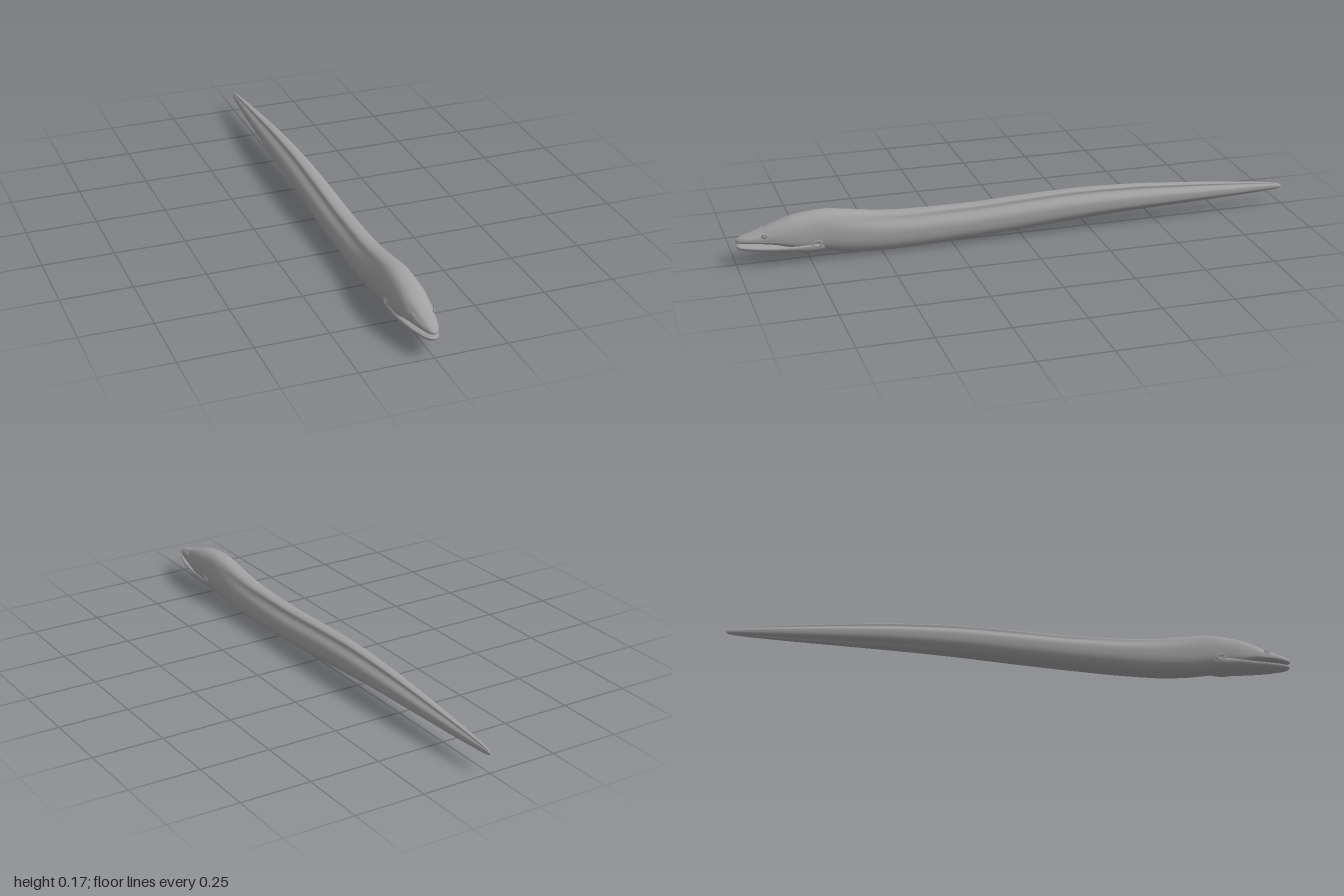
import * as THREE from 'three';

// Smooth interpolation through rows [z, a, b, ...] sorted by rising z
function sample(rows, z) {
  let i = 0;
  while (i < rows.length - 2 && z > rows[i + 1][0]) i++;
  const p = rows[i], q = rows[i + 1];
  const h = q[0] - p[0];
  const s = THREE.MathUtils.clamp((z - p[0]) / h, 0, 1);
  const slope = (k, c) => {
    if (k === 0 || k === rows.length - 1) return (q[c] - p[c]) / h;
    const d0 = (rows[k][c] - rows[k - 1][c]) / (rows[k][0] - rows[k - 1][0]);
    const d1 = (rows[k + 1][c] - rows[k][c]) / (rows[k + 1][0] - rows[k][0]);
    return d0 * d1 <= 0 ? 0 : (2 * d0 * d1) / (d0 + d1);
  };
  return p.map((v, c) => {
    const m0 = slope(i, c) * h, m1 = slope(i + 1, c) * h, d = q[c] - v;
    return v + m0 * s + (3 * d - 2 * m0 - m1) * s * s + (m0 + m1 - 2 * d) * s * s * s;
  });
}

// Skin over cross-sections; rows are [z, top, bottom, halfWidth, widestAt, dorsalFin, ventralFin]
function loft(rows, rings, sides) {
  const pos = [], index = [];
  const z0 = rows[0][0], z1 = rows[rows.length - 1][0];
  for (let i = 0; i <= rings; i++) {
    const f = i / rings;
    const ease = 0.5 - 0.5 * Math.cos(Math.PI * f);
    const z = z0 + (z1 - z0) * (0.4 * f + 0.6 * ease);
    const [, top, bottom, w, widest, dorsal, ventral] = sample(rows, z);
    const mid = bottom + (top - bottom) * widest;
    for (let j = 0; j < sides; j++) {
      const t = (j / sides) * Math.PI * 2, c = Math.cos(t), s = Math.sin(t);
      const v = Math.sign(s) * Math.abs(s) ** 0.9;
      // grooves pinch the section beside the fin ridges
      const pinch = (1 - dorsal * Math.exp(-(((v - 0.74) / 0.2) ** 2)))
        * (1 - ventral * Math.exp(-(((v + 0.78) / 0.2) ** 2)));
      pos.push(w * Math.sign(c) * Math.abs(c) ** 0.8 * pinch,
        mid + v * (s > 0 ? top - mid : mid - bottom), z);
      if (i < rings) {
        const a = i * sides + j, b = i * sides + ((j + 1) % sides);
        index.push(a, b, a + sides, b, b + sides, a + sides);
      }
    }
  }
  const g = new THREE.BufferGeometry();
  g.setAttribute('position', new THREE.Float32BufferAttribute(pos, 3));
  g.setIndex(index);
  g.computeVertexNormals();
  return g;
}

export function createModel() {
  const group = new THREE.Group();
  const skin = new THREE.MeshStandardMaterial({ color: 0xa0a0a0 });
  skin.name = 'grey skin';
  const add = (name, geometry, parent = group) => {
    const mesh = new THREE.Mesh(geometry, skin);
    mesh.name = name;
    parent.add(mesh);
    return mesh;
  };

  // Long body with the upper half of the head
  add('body', loft([
    [-1, 0.067, 0.066, 0, 0.5, 0, 0],
    [-0.99, 0.076, 0.06, 0.006, 0.5, 0.2, 0.2],
    [-0.95, 0.085, 0.056, 0.011, 0.48, 0.4, 0.35],
    [-0.8, 0.103, 0.05, 0.023, 0.45, 0.5, 0.4],
    [-0.6, 0.122, 0.045, 0.035, 0.43, 0.5, 0.35],
    [-0.4, 0.137, 0.04, 0.044, 0.42, 0.48, 0.25],
    [-0.2, 0.143, 0.032, 0.049, 0.42, 0.45, 0.1],
    [0, 0.138, 0.02, 0.052, 0.42, 0.42, 0],
    [0.2, 0.131, 0.009, 0.054, 0.42, 0.38, 0],
    [0.4, 0.133, 0.001, 0.055, 0.42, 0.28, 0],
    [0.5, 0.14, 0, 0.055, 0.42, 0.2, 0],
    [0.6, 0.154, 0.006, 0.054, 0.42, 0.1, 0],
    [0.7, 0.166, 0.022, 0.054, 0.4, 0, 0],
    [0.8, 0.156, 0.04, 0.055, 0.34, 0, 0],
    [0.85, 0.142, 0.062, 0.051, 0.25, 0, 0],
    [0.9, 0.124, 0.072, 0.042, 0.25, 0.12, 0],
    [0.95, 0.109, 0.077, 0.031, 0.3, 0.1, 0],
    [0.985, 0.098, 0.079, 0.018, 0.35, 0, 0],
    [0.996, 0.092, 0.081, 0.01, 0.4, 0, 0],
    [1, 0.086, 0.085, 0, 0.5, 0, 0],
  ], 150, 48));

  // Lower jaw and throat, its rear edge forming the gill fold
  add('lowerJaw', loft([
    [0.68, 0.06, 0.058, 0.03, 0.5, 0, 0],
    [0.71, 0.078, 0.027, 0.052, 0.55, 0, 0],
    [0.75, 0.076, 0.025, 0.057, 0.6, 0, 0],
    [0.8, 0.07, 0.033, 0.056, 0.65, 0, 0],
    [0.86, 0.067, 0.038, 0.049, 0.7, 0, 0],
    [0.92, 0.068, 0.044, 0.039, 0.7, 0, 0],
    [0.97, 0.07, 0.052, 0.026, 0.65, 0, 0],
    [0.99, 0.07, 0.057, 0.016, 0.6, 0, 0],
    [0.998, 0.066, 0.064, 0, 0.5, 0, 0],
  ], 60, 40));

  // Eyes with lids, and gill openings, on both sides
  for (const [label, side] of [['left', 1], ['right', -1]]) {
    const eye = new THREE.Group();
    eye.name = label + 'Eye';
    eye.position.set(side * 0.036, 0.103, 0.905);
    eye.rotation.set(0, side * 1.3, 0);
    add(label + 'Eyeball', new THREE.SphereGeometry(0.008, 20, 14), eye).scale.z = 0.5;
    add(label + 'Eyelid', new THREE.TorusGeometry(0.0095, 0.0022, 10, 24), eye);

    const gill = new THREE.Group();
    gill.name = label + 'Gill';
    gill.position.set(side * 0.054, 0.066, 0.73);
    gill.rotation.y = side * Math.PI / 2;
    gill.scale.set(1.5, 1, 0.8);
    add(label + 'GillRim', new THREE.TorusGeometry(0.01, 0.003, 10, 28), gill);
    group.add(eye, gill);

    // Small tube nostril at the snout
    const nostril = add(label + 'Nostril', new THREE.SphereGeometry(0.003, 12, 8));
    nostril.position.set(side * 0.013, 0.096, 0.98);
  }
  return group;
}
